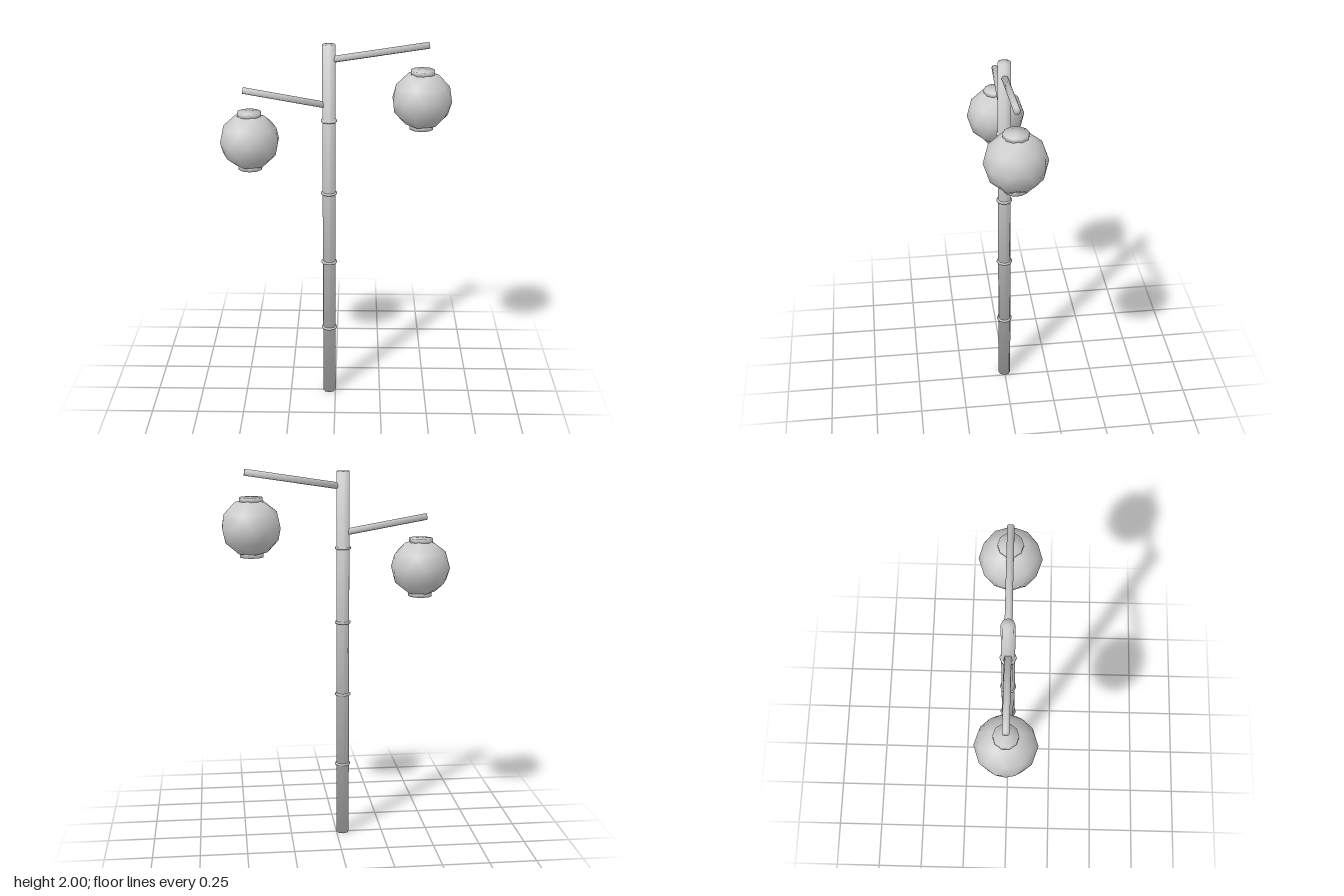
import * as THREE from 'three';

// Solid cylinder whose normals blend softly from the wall into the end caps
function softCylinder(radius, height, sides) {
  const geo = new THREE.CylinderGeometry(radius, radius, height, sides);
  const pos = geo.attributes.position;
  const n = new THREE.Vector3();
  for (let i = 0; i < pos.count; i++) {
    n.set(pos.getX(i) / radius, Math.sign(pos.getY(i)) * 0.81, pos.getZ(i) / radius).normalize();
    geo.attributes.normal.setXYZ(i, n.x, n.y, n.z);
  }
  return geo;
}

export function createModel() {
  const group = new THREE.Group();
  const grey = new THREE.MeshStandardMaterial({ color: 0xcccccc });
  grey.name = 'light grey';

  function add(parent, name, geo, x, y, z = 0) {
    const mesh = new THREE.Mesh(geo, grey);
    mesh.name = name;
    mesh.position.set(x, y, z);
    parent.add(mesh);
    return mesh;
  }

  // Upright pole with joint rings
  const poleX = -0.034;
  add(group, 'pole', softCylinder(0.034, 1.985, 8), poleX, 0.9925);
  for (const y of [0.4, 0.795, 1.19, 1.587]) {
    add(group, 'jointRing', softCylinder(0.042, 0.011, 8), poleX, y);
  }

  // Sloping arm between two points
  function addArm(name, from, to) {
    const dir = to.clone().sub(from);
    const mid = from.clone().add(to).multiplyScalar(0.5);
    const arm = add(group, name, softCylinder(0.0175, dir.length(), 8), mid.x, mid.y);
    arm.quaternion.setFromUnitVectors(new THREE.Vector3(0, 1, 0), dir.normalize());
  }
  addArm('leftArm', new THREE.Vector3(-0.01, 1.909, 0), new THREE.Vector3(0.473, 1.983, 0));
  addArm('rightArm', new THREE.Vector3(-0.058, 1.671, 0), new THREE.Vector3(-0.475, 1.745, 0));

  // Round lantern with a collar above and below
  function addLantern(name, x, y) {
    const lantern = new THREE.Group();
    lantern.name = name;
    lantern.position.set(x, y, 0);
    const globe = new THREE.IcosahedronGeometry(0.157, 1);
    globe.rotateZ(-Math.atan(2 / (1 + Math.sqrt(5)))); // one corner straight up
    globe.scale(1, 0.98, 1);
    add(lantern, 'globe', globe, 0, 0);
    for (const side of [-1, 1]) {
      add(lantern, 'collar', softCylinder(0.063, 0.024, 10), 0, side * 0.142);
    }
    group.add(lantern);
  }
  addLantern('leftLantern', 0.442, 1.701);
  addLantern('rightLantern', -0.446, 1.478);

  return group;
}
